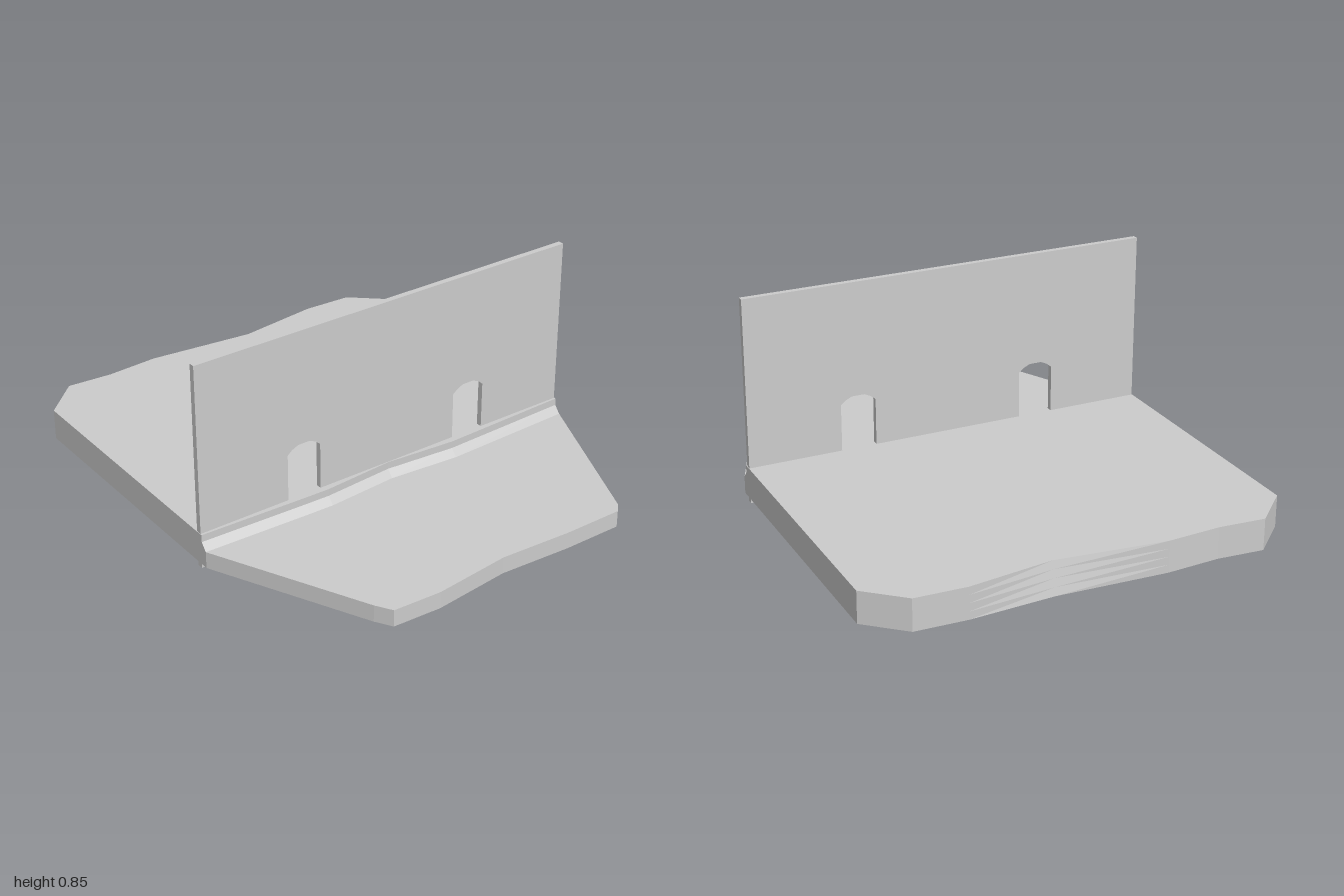
import * as THREE from 'three';

const W = 0.86;      // half width
const SEAM = 0.24;   // z where the rear top meets the lip
const BOTTOM = 0.02; // lower rim of the open shell

function makeMesh(name, geometry) {
  const mesh = new THREE.Mesh(geometry, new THREE.MeshStandardMaterial({
    color: 0xcccccc, flatShading: true, side: THREE.DoubleSide,
  }));
  mesh.name = name;
  return mesh;
}

function fromTriangles(tris) {
  const geo = new THREE.BufferGeometry();
  geo.setAttribute('position', new THREE.Float32BufferAttribute(tris.flat(), 3));
  geo.computeVertexNormals();
  return geo;
}

// Open strip between two rows of points, subdivided across
function strip(lower, upper, rows = 1) {
  const mix = (a, b, t) => a.map((v, k) => v + (b[k] - v) * t);
  const tris = [];
  for (let i = 0; i < lower.length - 1; i++) {
    for (let r = 0; r < rows; r++) {
      const [t0, t1] = [r / rows, (r + 1) / rows];
      const a = mix(lower[i], upper[i], t0), b = mix(lower[i + 1], upper[i + 1], t0);
      const c = mix(lower[i + 1], upper[i + 1], t1), d = mix(lower[i], upper[i], t1);
      tris.push(a, b, c, a, c, d);
    }
  }
  return tris;
}

const atHeight = (path, y) => path.map(([x, z]) => [x, y, z]);

// Flat horizontal sheet from an [x, z] outline
function sheet(outline, y) {
  const shape = new THREE.Shape(outline.map(([x, z]) => new THREE.Vector2(x, -z)));
  return new THREE.ShapeGeometry(shape).rotateX(-Math.PI / 2).translate(0, y, 0);
}

export function createModel() {
  const group = new THREE.Group();

  // Rear shell: open underneath, back edge dished in towards the top
  const rearLower = [
    [W, SEAM], [W, -0.855], [0.71, -0.988], [0.5, -0.997], [0.15, -0.978],
    [-0.3, -1], [-0.52, -0.986], [-0.71, -1], [-W, -0.855], [-W, SEAM],
  ];
  const rearUpper = rearLower.map(([x, z]) => [x, x === 0.15 ? -0.95 : z]);
  group.add(makeMesh('rearTop', sheet(rearUpper, 0.15)));
  group.add(makeMesh('rearRim', fromTriangles(
    strip(atHeight(rearLower, BOTTOM), atHeight(rearUpper, 0.15), 4))));

  // Stepped lip: a wavy section running across, with closed ends
  const edge = [[-W, 0.272], [-0.4, 0.287], [-0.3, 0.289], [0, 0.266], [0.3, 0.29], [W, 0.272]];
  const lipRows = [
    edge.map(([x]) => [x, 0.15, SEAM]),
    edge.map(([x, z]) => [x, 0.15, z]),
    edge.map(([x, z]) => [x, 0.12, z]),
    edge.map(([x, z]) => [x, 0.09, z + 0.026]),
  ];
  const lip = [];
  for (let i = 0; i < lipRows.length - 1; i++) lip.push(...strip(lipRows[i + 1], lipRows[i]));
  for (const [x, end] of [[-W, 0], [W, edge.length - 1]]) {
    const section = [[x, 0.09, SEAM], ...lipRows.map((row) => row[end])];
    for (let j = 1; j < section.length - 1; j++) {
      const [b, c] = x > 0 ? [j, j + 1] : [j + 1, j];
      lip.push(section[0], section[b], section[c]);
    }
  }
  group.add(makeMesh('steppedLip', fromTriangles(lip)));

  // Thin tapering front shell, also open underneath
  const frontPath = [
    [-W, SEAM], [-W, 0.298], [-0.56, 0.925], [-0.52, 0.99], [-0.32, 1], [0, 0.965],
    [0.3, 0.982], [0.55, 0.982], [0.582, 0.95], [W, 0.298], [W, SEAM],
  ];
  const lipFoot = edge.map(([x, z]) => [x, z + 0.026]).reverse();
  group.add(makeMesh('frontTop', sheet([...frontPath.slice(1, -1), ...lipFoot.slice(1, -1)], 0.09)));
  group.add(makeMesh('frontRim', fromTriangles(
    strip(atHeight(frontPath, BOTTOM), atHeight(frontPath, 0.09)))));

  // Upright panel with two arched openings cut up from its lower edge
  const arch = [[0.32, 0], [0.32, 0.345], [0.34, 0.362], [0.368, 0.375],
    [0.42, 0.375], [0.448, 0.362], [0.468, 0.345], [0.468, 0]];
  const mirrored = arch.map(([x, y]) => [-x, y]).reverse();
  const outline = [[-0.858, 0], ...mirrored, ...arch, [0.858, 0], [0.858, 0.85], [-0.858, 0.85]];
  const panel = new THREE.ExtrudeGeometry(
    new THREE.Shape(outline.map(([x, y]) => new THREE.Vector2(x, y))),
    { depth: 0.024, bevelEnabled: false });
  group.add(makeMesh('uprightPanel', panel.translate(0, 0, 0.239)));

  return group;
}
